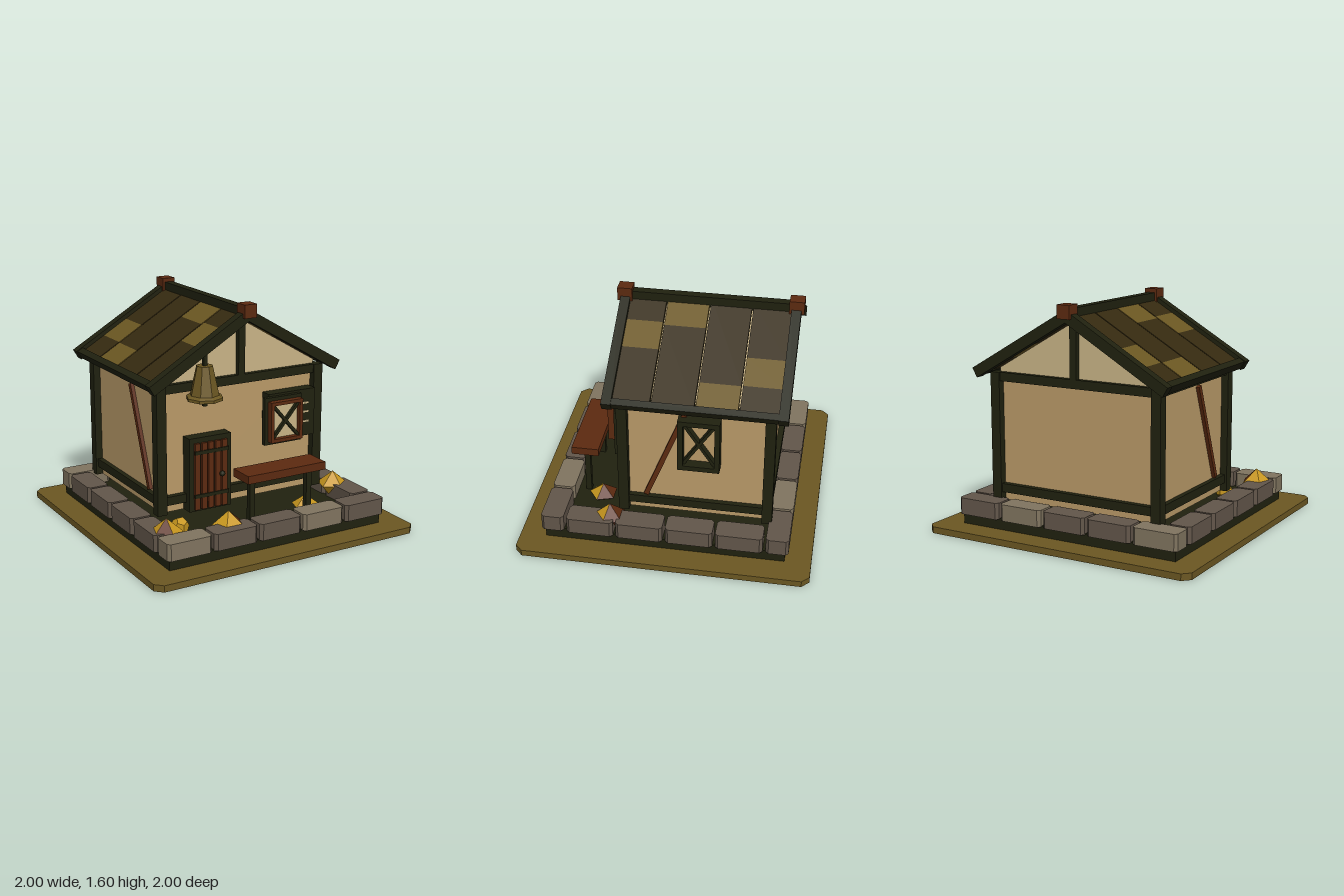
import * as THREE from 'three';

const mat = (name, color) => {
  const m = new THREE.MeshStandardMaterial({ color });
  m.name = name;
  return m;
};

export function createModel() {
  const root = new THREE.Group();
  root.name = 'cottage';
  const timber = mat('dark timber', 0x20210f), wood = mat('red brown wood', 0x5c2a10);
  const roofDark = mat('dark thatch', 0x352a10), olive = mat('olive', 0x6b5722);
  const gold = mat('gold', 0xc8971f), plaster = mat('plaster', 0xb99a68);
  const cream = mat('cream plaster', 0xc9b486);
  const stone = mat('stone', 0x62564a), paleStone = mat('pale stone', 0x80745f);

  const add = (name, geo, m, parent = root) => {
    const mesh = new THREE.Mesh(geo, m);
    mesh.name = name;
    parent.add(mesh);
    return mesh;
  };
  // Box given by its limits on each axis
  const box = (name, m, x0, x1, y0, y1, z0, z1, parent = root) => {
    const mesh = add(name, new THREE.BoxGeometry(Math.abs(x1 - x0), y1 - y0, z1 - z0), m, parent);
    mesh.position.set((x0 + x1) / 2, (y0 + y1) / 2, (z0 + z1) / 2);
    return mesh;
  };
  // Upright slab with its four vertical corners cut off
  const slab = (name, m, cx, cz, w, d, y0, y1, c) => {
    const a = w / 2, b = d / 2;
    const s = new THREE.Shape([[a - c, -b], [a, c - b], [a, b - c], [a - c, b], [c - a, b], [-a, b - c], [-a, c - b], [c - a, -b]]
      .map(([x, y]) => new THREE.Vector2(x, y)));
    const geo = new THREE.ExtrudeGeometry(s, { depth: y1 - y0, bevelEnabled: false }).rotateX(-Math.PI / 2);
    add(name, geo, m).position.set(cx, y0, cz);
  };

  // Ground and ring of stones
  slab('ground', olive, 0, 0, 2, 2, 0, 0.045, 0.05);
  box('plinth', timber, -0.82, 0.82, 0.04, 0.122, -0.82, 0.82);
  for (let i = 0; i < 5; i++) {
    const x = (i - 2) * 0.34, m = i % 3 === 0 ? paleStone : stone;
    for (const z of [-0.768, 0.768]) slab('edgeStone', m, x, z, 0.32, 0.155, 0.115, 0.23, 0.02);
  }
  for (let i = 0; i < 4; i++)
    for (const x of [-0.768, 0.768]) slab('edgeStone', stone, x, (i - 1.5) * 0.34, 0.155, 0.32, 0.115, 0.23, 0.02);

  // Walls and attic
  box('walls', plaster, -0.6, 0.6, 0.21, 1.08, -0.66, 0.29);
  const gable = new THREE.Shape([[-0.6, 1.06], [0.6, 1.06], [0.6, 1.128], [0, 1.48], [-0.6, 1.128]]
    .map(([x, y]) => new THREE.Vector2(x, y)));
  add('attic', new THREE.ExtrudeGeometry(gable, { depth: 0.956, bevelEnabled: false }), cream).position.z = -0.663;

  // Timber frame
  for (const s of [-1, 1]) {
    for (const z of [-0.71, 0.27]) box('cornerPost', timber, s * 0.58, s * 0.65, 0.21, 1.1, z, z + 0.07);
    for (const y of [0.27, 1.04]) box('sideBeam', timber, s * 0.58, s * 0.635, y, y + 0.06, -0.66, 0.3);
    // Diagonal brace on the side wall
    const brace = box('brace', wood, -0.02, 0.02, -0.365, 0.365, -0.017, 0.017);
    brace.position.set(s * 0.605, 0.68, 0.022);
    brace.rotation.x = -0.37;
  }
  for (const z of [-0.7, 0.275]) {
    for (const y of [0.27, 1.04]) box('endBeam', timber, -0.62, 0.62, y, y + 0.06, z, z + 0.055);
    box('kingPost', timber, -0.025, 0.025, 1.09, 1.45, z, z + 0.055);
  }

  // Roof: each slope is built flat, then tilted about the ridge
  const rows = [[-0.727, -0.473, 0.36], [-0.463, -0.19, 0.54], [-0.18, 0.099, 0.02], [0.109, 0.353, 0.18]];
  for (const s of [-1, 1]) {
    const slope = new THREE.Group();
    slope.name = 'roofSlope';
    slope.position.y = 1.563;
    slope.rotation.z = -s * 0.53;
    root.add(slope);
    for (const [z0, z1, px] of rows) {
      const u0 = px / 0.863, u1 = Math.min((px + 0.177) / 0.863, 0.815);
      if (u0 > 0.03) box('thatch', roofDark, 0, s * u0, -0.058, -0.028, z0, z1, slope);
      box('thatchPatch', olive, s * u0, s * u1, -0.058, -0.028, z0, z1, slope);
      if (u1 < 0.81) box('thatch', roofDark, s * u1, s * 0.815, -0.058, -0.028, z0, z1, slope);
    }
    for (const z of [-0.79, 0.353]) box('rafter', timber, 0, s * 0.857, -0.072, 0, z, z + 0.065, slope);
    box('eaveBeam', timber, s * 0.805, s * 0.852, -0.065, -0.005, -0.77, 0.4, slope);
  }
  box('ridgeBeam', timber, -0.03, 0.03, 1.5, 1.57, -0.79, 0.42);
  for (const z of [-0.81, 0.34]) box('ridgeCap', wood, -0.047, 0.047, 1.505, 1.597, z, z + 0.1);

  // Door
  box('doorFrame', timber, -0.43, -0.11, 0.21, 0.725, 0.28, 0.375);
  for (let i = 0; i < 5; i++)
    box('doorPlank', wood, -0.395 + i * 0.052, -0.357 + i * 0.052, 0.225, 0.69, 0.37, 0.395);
  for (const y of [0.31, 0.615]) box('doorBand', timber, -0.4, -0.14, y, y + 0.025, 0.39, 0.402);
  add('doorKnob', new THREE.IcosahedronGeometry(0.02, 1), timber).position.set(-0.2, 0.46, 0.415);

  // Framed panel with a diagonal cross, facing +z
  const crossPanel = (name, w, h, t, d, frameMat, paneMat) => {
    const g = new THREE.Group();
    g.name = name;
    root.add(g);
    const a = w / 2, b = h / 2;
    box('pane', paneMat, -a + 0.005, a - 0.005, -b + 0.005, b - 0.005, 0, 0.008, g);
    for (const s of [-1, 1]) {
      box('frameSide', frameMat, s * (a - t), s * a, -b, b, 0, d, g);
      box('frameRail', frameMat, -a + t, a - t, s > 0 ? b - t : -b, s > 0 ? b : t - b, 0, d, g);
      const iw = w - 2 * t, ih = h - 2 * t;
      box('crossBar', timber, -Math.hypot(iw, ih) / 2, Math.hypot(iw, ih) / 2, -0.01, 0.01, 0.004, d * 0.7, g)
        .rotation.z = s * Math.atan2(ih, iw);
    }
    return g;
  };

  // Front window with its open shutter
  box('windowFrame', timber, 0.19, 0.565, 0.61, 0.945, 0.28, 0.375);
  for (const y of [0.715, 0.785, 0.848]) box('shutterSlat', cream, 0.41, 0.513, y - 0.006, y + 0.006, 0.374, 0.381);
  box('shutterBacking', timber, 0.14, 0.435, 0.597, 0.93, 0.37, 0.405);
  crossPanel('frontShutter', 0.255, 0.285, 0.024, 0.045, wood, cream).position.set(0.292, 0.763, 0.405);

  // Side window
  const side = crossPanel('sideWindow', 0.28, 0.388, 0.035, 0.08, timber, plaster);
  side.position.set(0.6, 0.812, -0.21);
  side.rotation.y = Math.PI / 2;

  // Bench
  box('benchSeat', wood, -0.18, 0.43, 0.47, 0.525, 0.525, 0.715);
  for (const x of [-0.1, 0.35]) box('benchLeg', timber, x - 0.02, x + 0.02, 0.12, 0.475, 0.6, 0.64);

  // Hanging bell
  const bellMat = olive;
  const profile = [[0, 1], [0.1, 0.985], [0.125, 0.985], [0.125, 1.005], [0.1, 1.02], [0.056, 1.215], [0, 1.215]]
    .map(([r, y]) => new THREE.Vector2(r, y));
  const bell = new THREE.LatheGeometry(profile, 8).toNonIndexed();
  bell.computeVertexNormals();
  add('bell', bell, bellMat).position.set(-0.315, 0, 0.38);
  box('bellRod', timber, -0.328, -0.302, 0.94, 1.32, 0.367, 0.393);

  // Faceted crystals: five wedges, gold or brown
  const crystal = (x, z, r, y0, y1, y2, rot, brown) => {
    const pos = [], geo = new THREE.BufferGeometry();
    const p = (i) => [r * Math.sin(rot + i * Math.PI * 0.4), y1, r * Math.cos(rot + i * Math.PI * 0.4)];
    for (let i = 0; i < 5; i++) {
      pos.push(0, y2, 0, ...p(i), ...p(i + 1), 0, y0, 0, ...p(i + 1), ...p(i));
      geo.addGroup(i * 6, 6, brown.includes(i) ? 1 : 0);
    }
    geo.setAttribute('position', new THREE.Float32BufferAttribute(pos, 3));
    geo.computeVertexNormals();
    add('crystal', geo, [gold, wood]).position.set(x, 0, z);
  };
  crystal(-0.73, 0.61, 0.11, 0.1, 0.215, 0.31, 0, [1, 4]);
  crystal(-0.315, 0.69, 0.115, 0.1, 0.215, 0.31, -0.63, [1, 2]);
  crystal(0.73, 0.385, 0.11, 0.1, 0.215, 0.31, 0, [1, 2]);
  crystal(0.42, 0.5, 0.1, 0.08, 0.15, 0.225, 0, [1, 2]);
  add('smallNugget', new THREE.DodecahedronGeometry(0.062), gold).position.set(-0.545, 0.165, 0.45);

  return root;
}
